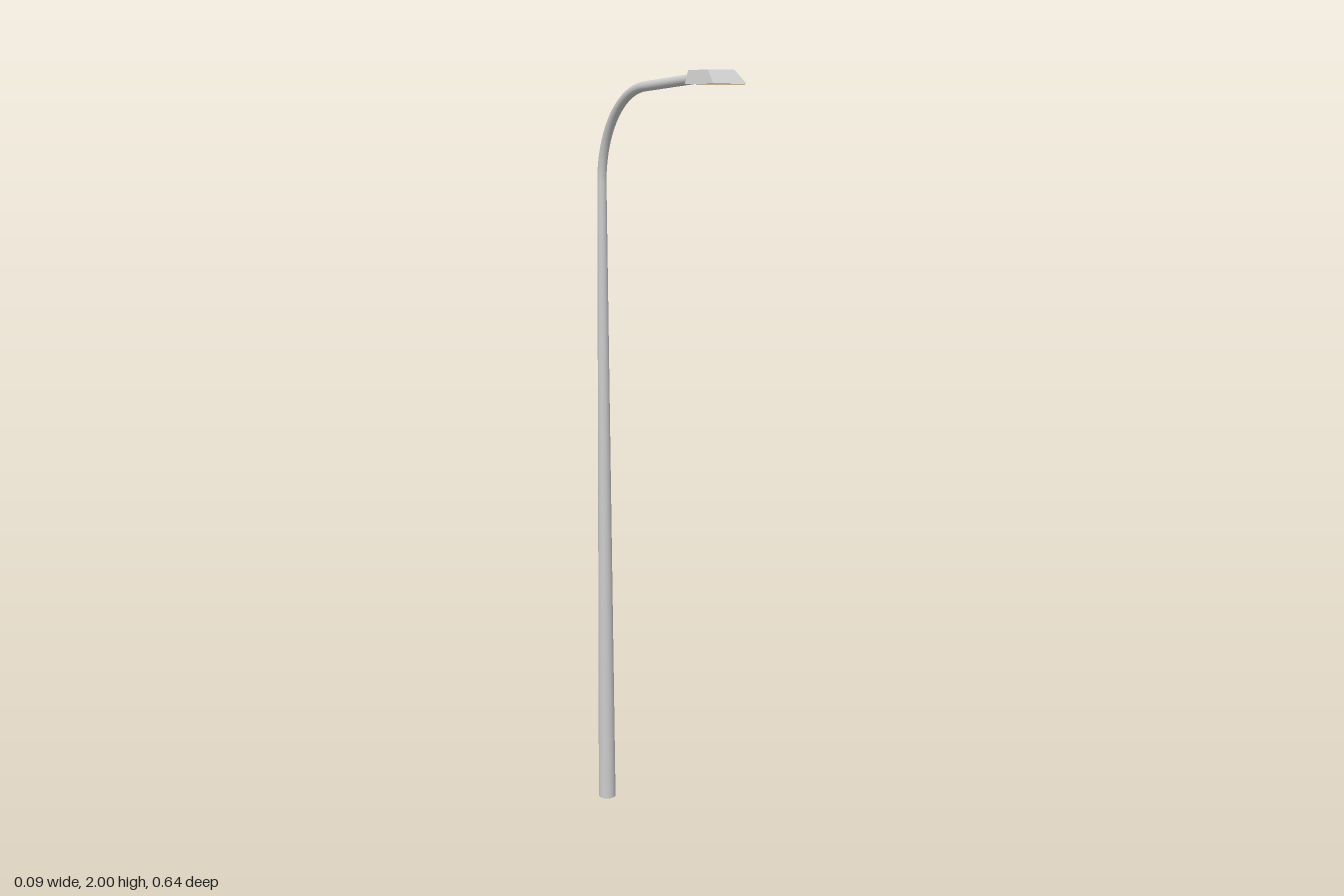
import * as THREE from 'three';

const POLE_Z = -0.296, BEND_Y = 1.725, BEND_R = 0.242, TILT = 0.065;

// Quarter-like bend from vertical, then a gently rising straight arm
class ArmCurve extends THREE.Curve {
  constructor() {
    super();
    this.sweep = Math.PI / 2 - TILT;
    this.arc = BEND_R * this.sweep;
    this.total = this.arc + 0.275;
  }
  getPoint(t, target = new THREE.Vector3()) {
    const s = t * this.total;
    const a = Math.min(s / BEND_R, this.sweep);
    const rest = Math.max(0, s - this.arc);
    return target.set(
      0,
      BEND_Y + BEND_R * Math.sin(a) + rest * Math.cos(a),
      POLE_Z + BEND_R * (1 - Math.cos(a)) + rest * Math.sin(a)
    );
  }
}

export function createModel() {
  const model = new THREE.Group();
  model.name = 'streetLamp';
  const grey = new THREE.MeshStandardMaterial({ color: 0xcccccc });
  const greyFlat = new THREE.MeshStandardMaterial({ color: 0xcccccc, flatShading: true });
  const yellow = new THREE.MeshStandardMaterial({ color: 0xd8b93c });

  const add = (name, geometry, material) => {
    const mesh = new THREE.Mesh(geometry, material);
    mesh.name = name;
    model.add(mesh);
    return mesh;
  };

  // Tapered pole
  add('pole', new THREE.CylinderGeometry(0.012, 0.024, BEND_Y, 32), grey)
    .position.set(0, BEND_Y / 2, POLE_Z);

  // Curved arm
  add('arm', new THREE.TubeGeometry(new ArmCurve(), 48, 0.012, 32), grey);

  // Lamp head: a box whose top narrows at the sides and slopes back at the front
  const bottom = 1.969, back = 0.195, front = 0.318;
  const head = new THREE.BoxGeometry(0.088, 2 - bottom, front - back);
  head.translate(0, (2 + bottom) / 2, (front + back) / 2);
  const p = head.attributes.position;
  for (let i = 0; i < p.count; i++) {
    if (p.getY(i) < 1.99) continue;
    p.setX(i, Math.sign(p.getX(i)) * 0.035);
    if (p.getZ(i) > 0.25) p.setZ(i, 0.281);
  }
  head.computeVertexNormals();
  add('lampHead', head, greyFlat);

  // Light panel covering the underside
  const panel = add('lightPanel', new THREE.PlaneGeometry(0.086, front - back - 0.002), yellow);
  panel.rotation.x = Math.PI / 2;
  panel.position.set(0, bottom - 0.0008, (front + back) / 2);

  return model;
}
